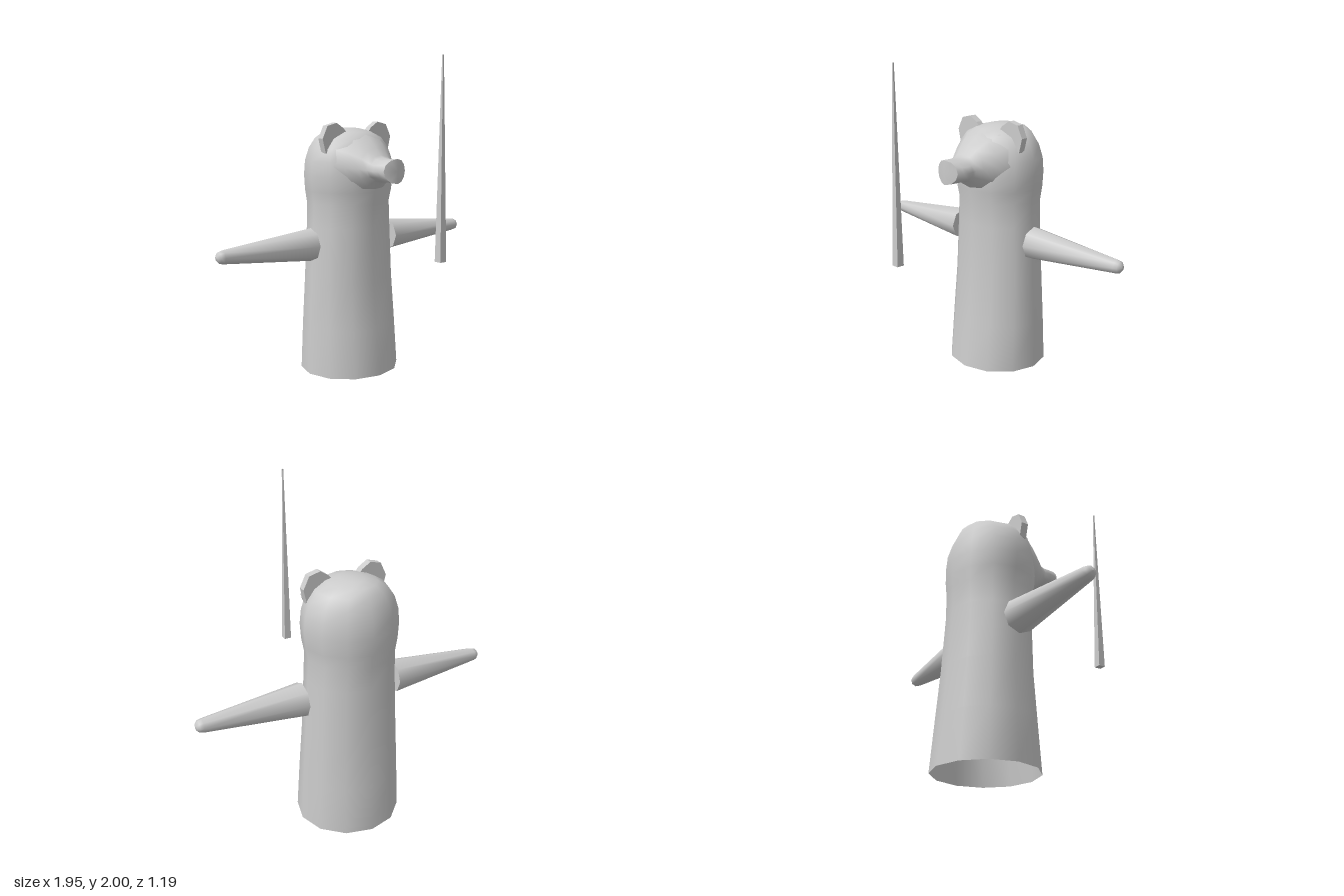
import * as THREE from 'three';

const material = new THREE.MeshStandardMaterial({ color: 0xcccccc, side: THREE.DoubleSide });
const SIDES = 12;

// Skin a list of equally sized closed rings; an optional tip closes the last ring.
function loft(rings, tip) {
  const n = rings[0].length, index = [];
  const points = rings.flat();
  for (let i = 0; i < rings.length - 1; i++) {
    for (let j = 0; j < n; j++) {
      const a = i * n + j, b = i * n + (j + 1) % n;
      index.push(a, b, b + n, a, b + n, a + n);
    }
  }
  if (tip) {
    const last = (rings.length - 1) * n;
    for (let j = 0; j < n; j++) index.push(last + j, last + (j + 1) % n, points.length);
    points.push(tip);
  }
  const geometry = new THREE.BufferGeometry().setFromPoints(points);
  geometry.setIndex(index);
  geometry.computeVertexNormals();
  return geometry;
}

function add(parent, name, geometry) {
  const mesh = new THREE.Mesh(geometry, material);
  mesh.name = name;
  parent.add(mesh);
  return mesh;
}

const angles = Array.from({ length: SIDES }, (_, j) => (j / SIDES) * Math.PI * 2);

// Horizontal ring of the body
function bodyRing([y, halfWidth, front, back]) {
  const mid = (front + back) / 2, depth = (front - back) / 2;
  return angles.map(t => new THREE.Vector3(Math.sin(t) * halfWidth, y, mid + Math.cos(t) * depth));
}

// Upright ring of the muzzle; bend pulls the sides back from the middle
function muzzleRing([z, halfWidth, bottom, top, bend = 0]) {
  const mid = (bottom + top) / 2, height = (top - bottom) / 2;
  return angles.map(t => new THREE.Vector3(
    Math.cos(t) * halfWidth, mid + Math.sin(t) * height, z - bend * Math.abs(Math.cos(t))));
}

// Arm pointing along +x with a rounded end
function armGeometry() {
  const profile = [[0, 0], [0.105, 0], [0.105, 0], [0.042, 0.625], [0.036, 0.648], [0.02, 0.662], [0, 0.667]]
    .map(([r, l]) => new THREE.Vector2(r, l));
  return new THREE.LatheGeometry(profile, 8).rotateZ(-Math.PI / 2);
}

// Flat, angular ear
function earGeometry() {
  const outline = [[0.09, 1.55], [0.11, 1.575], [0.165, 1.61], [0.235, 1.592],
    [0.272, 1.515], [0.25, 1.425], [0.215, 1.42], [0.14, 1.48]];
  const shape = new THREE.Shape(outline.map(([x, y]) => new THREE.Vector2(x, y)));
  return new THREE.ExtrudeGeometry(shape, { depth: 0.046, bevelEnabled: false }).translate(0, 0, -0.232);
}

// Mirrored copy across x = 0, with the winding turned back outwards
function mirrored(geometry) {
  const copy = geometry.index ? geometry.toNonIndexed() : geometry.clone();
  copy.scale(-1, 1, 1);
  for (const attribute of Object.values(copy.attributes)) {
    const size = attribute.itemSize, a = attribute.array;
    for (let i = 0; i < attribute.count; i += 3) {
      for (let k = 0; k < size; k++) {
        const p = (i + 1) * size + k, q = p + size;
        [a[p], a[q]] = [a[q], a[p]];
      }
    }
  }
  return copy;
}

export function createModel() {
  const model = new THREE.Group();
  model.name = 'bear';

  // Body and head in one skin, open at the bottom: y, half width, front z, back z
  const body = [
    [0, 0.325, 0.03, -0.595], [0.3, 0.314, 0.0, -0.572], [0.6, 0.298, -0.027, -0.55],
    [0.95, 0.281, -0.035, -0.535], [1.1, 0.273, -0.03, -0.542], [1.18, 0.288, -0.015, -0.549],
    [1.28, 0.296, -0.01, -0.55], [1.37, 0.288, -0.02, -0.543], [1.45, 0.262, -0.04, -0.52],
    [1.51, 0.217, -0.075, -0.492], [1.55, 0.15, -0.13, -0.455], [1.57, 0.07, -0.21, -0.39],
  ];
  add(model, 'body', loft(body.map(bodyRing), new THREE.Vector3(0, 1.574, -0.3)));

  // Muzzle: z, half width, bottom y, top y, bend
  const muzzle = [
    [-0.24, 0.27, 1.14, 1.57], [-0.15, 0.245, 1.14, 1.555], [-0.07, 0.19, 1.16, 1.515],
    [0.0, 0.138, 1.21, 1.457], [0.04, 0.11, 1.242, 1.415], [0.065, 0.108, 1.25, 1.402],
    [0.1, 0.115, 1.253, 1.397], [0.15, 0.105, 1.252, 1.4, 0.01], [0.2, 0.085, 1.25, 1.402, 0.03],
  ];
  add(model, 'muzzle', loft(muzzle.map(muzzleRing)));
  add(model, 'noseFront', loft([muzzleRing(muzzle.at(-1))], new THREE.Vector3(0, 1.326, 0.203)));

  // Arms and ears on both sides
  const arm = armGeometry().translate(0.31, 0.85, -0.272);
  const ear = earGeometry();
  add(model, 'leftArm', arm);
  add(model, 'rightArm', mirrored(arm));
  add(model, 'leftEar', ear);
  add(model, 'rightEar', mirrored(ear));

  // Thin tapered spike standing free in front
  const spike = new THREE.CylinderGeometry(0.005, 0.033, 1.165, 4, 1).rotateY(Math.PI / 4).toNonIndexed();
  spike.computeVertexNormals();
  add(model, 'spike', spike).position.set(0, 1.4175, 0.575);

  return model;
}
